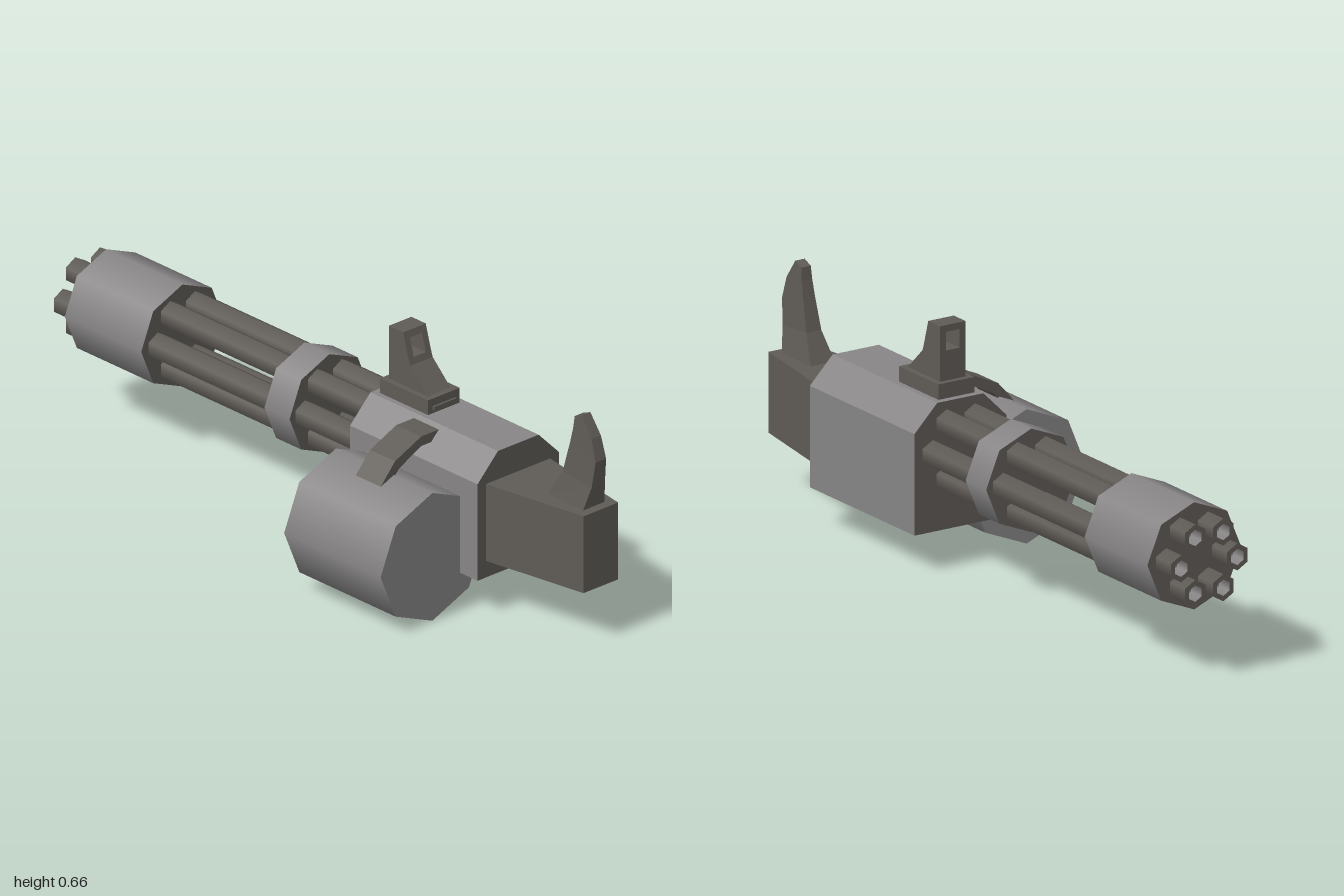
import * as THREE from 'three';

const light = new THREE.MeshStandardMaterial({ color: 0x878585 });
light.name = 'light grey metal';
const dark = new THREE.MeshStandardMaterial({ color: 0x5f5b56 });
dark.name = 'dark brown metal';
const bore = new THREE.MeshStandardMaterial({ color: 0x878585, side: THREE.DoubleSide });
bore.name = 'bore grey';

const AXIS_X = 0.141, AXIS_Y = 0.33;

function add(parent, name, geometry, material) {
  const mesh = new THREE.Mesh(geometry, material);
  mesh.name = name;
  parent.add(mesh);
  return mesh;
}

const shapeOf = (points) => new THREE.Shape(points.map(([x, y]) => new THREE.Vector2(x, y)));

// Outline in x, y pushed along z
function extrudeZ(points, z0, z1) {
  const g = new THREE.ExtrudeGeometry(shapeOf(points), { depth: z1 - z0, bevelEnabled: false });
  return g.translate(0, 0, z0);
}

// Outline in z, y pushed along x
function extrudeX(points, x0, x1) {
  const outline = points.map(([z, y]) => [-z, y]);
  const g = new THREE.ExtrudeGeometry(shapeOf(outline), { depth: x1 - x0, bevelEnabled: false });
  return g.rotateY(Math.PI / 2).translate(x0, 0, 0);
}

// Cylinder lying along z
function cylinderZ(r, z0, z1, sides, open = false) {
  const g = new THREE.CylinderGeometry(r, r, z1 - z0, sides, 1, open);
  return g.rotateX(Math.PI / 2).translate(0, 0, (z0 + z1) / 2);
}

// Flat-faced skin over four-cornered cross-sections, closed at both ends
function loft(rings) {
  const pos = [];
  const quad = (a, b, c, d) => pos.push(...a, ...b, ...c, ...a, ...c, ...d);
  for (let k = 0; k < rings.length - 1; k++) {
    for (let i = 0; i < 4; i++) {
      const j = (i + 1) % 4;
      quad(rings[k][i], rings[k][j], rings[k + 1][j], rings[k + 1][i]);
    }
  }
  quad(...[...rings[0]].reverse());
  quad(...rings[rings.length - 1]);
  const g = new THREE.BufferGeometry();
  g.setAttribute('position', new THREE.Float32BufferAttribute(pos, 3));
  g.computeVertexNormals();
  return g;
}

export function createModel() {
  const model = new THREE.Group();
  model.name = 'rotaryBlaster';

  // Main housing: light sides, dark end faces
  add(model, 'housing', extrudeZ([
    [-0.005, 0.111], [0.29, 0.111], [0.29, 0.395], [0.217, 0.469], [0.069, 0.469], [-0.005, 0.395],
  ], 0.18, 0.677), [dark, light]);

  // Tapered rear block
  const blockRing = (x0, x1, z) => [[x0, 0.16, z], [x1, 0.16, z], [x1, 0.386, z], [x0, 0.386, z]];
  add(model, 'rearBlock', loft([blockRing(0.025, 0.258, 0.677), blockRing(0.079, 0.205, 1)]), dark);

  // Curved rear grip: front z, y; back z, y; half width
  const gripRings = [
    [0.972, 0.384, 0.834, 0.384, 0.039],
    [0.99, 0.455, 0.877, 0.465, 0.024],
    [1, 0.53, 0.9, 0.555, 0.019],
    [0.982, 0.592, 0.91, 0.6, 0.017],
    [0.943, 0.648, 0.914, 0.636, 0.015],
  ].map(([zf, yf, zb, yb, w]) => [
    [0.142 - w, yf, zf], [0.142 + w, yf, zf], [0.142 + w, yb, zb], [0.142 - w, yb, zb],
  ]);
  add(model, 'rearGrip', loft(gripRings), dark);

  // Drum magazine and its feed strap
  add(model, 'drum', cylinderZ(0.188, 0.232, 0.608, 8), light).position.set(-0.105, 0.19, 0);
  add(model, 'feedStrap', extrudeZ([
    [-0.155, 0.355], [-0.1, 0.417], [-0.005, 0.459], [0.062, 0.459], [0.062, 0.431],
    [-0.005, 0.431], [-0.085, 0.391], [-0.118, 0.355],
  ], 0.36, 0.457), dark);

  // Sight: foot, sloped post and window frame
  const sight = new THREE.Group();
  sight.name = 'sight';
  model.add(sight);
  const foot = new THREE.BoxGeometry(0.115, 0.048, 0.188);
  add(sight, 'sightFoot', foot.translate(0.142, 0.488, 0.294), dark);
  const tongue = new THREE.BoxGeometry(0.082, 0.01, 0.02);
  add(sight, 'sightTongue', tongue.translate(0.142, 0.485, 0.385), dark);
  add(sight, 'sightPost', extrudeX([
    [0.217, 0.51], [0.372, 0.51], [0.3, 0.578], [0.294, 0.596], [0.217, 0.596],
  ], 0.101, 0.183), dark);
  for (const [x0, x1] of [[0.101, 0.12], [0.164, 0.183]]) {
    add(sight, 'sightFrameSide', extrudeX([
      [0.217, 0.596], [0.294, 0.596], [0.273, 0.667], [0.217, 0.667],
    ], x0, x1), dark);
  }
  add(sight, 'sightFrameTop', extrudeX([
    [0.217, 0.648], [0.279, 0.648], [0.273, 0.667], [0.217, 0.667],
  ], 0.12, 0.164), dark);

  // Barrel cluster
  const cluster = new THREE.Group();
  cluster.name = 'barrelCluster';
  cluster.position.set(AXIS_X, AXIS_Y, 0);
  model.add(cluster);
  for (let i = 0; i < 6; i++) {
    const a = (i * Math.PI) / 3;
    const barrel = new THREE.Group();
    barrel.name = 'barrel';
    barrel.position.set(Math.cos(a) * 0.09, Math.sin(a) * 0.09, 0);
    cluster.add(barrel);
    add(barrel, 'barrelTube', cylinderZ(0.038, -1, 0.185, 6, true), dark);
    const lip = new THREE.RingGeometry(0.023, 0.038, 6, 1, Math.PI / 2);
    add(barrel, 'barrelLip', lip.rotateY(Math.PI).translate(0, 0, -1), dark);
    add(barrel, 'barrelBore', cylinderZ(0.023, -1, -0.95, 6, true), bore);
    const floor = new THREE.CircleGeometry(0.023, 6, Math.PI / 2);
    add(barrel, 'boreFloor', floor.rotateY(Math.PI).translate(0, 0, -0.95), bore);
  }

  // Bands around the barrels: light rims, dark end faces
  add(cluster, 'muzzleBand', cylinderZ(0.15, -0.928, -0.63, 8), [light, dark, dark]);
  add(cluster, 'middleBand', cylinderZ(0.145, -0.155, -0.057, 8), [light, dark, dark]);

  return model;
}
